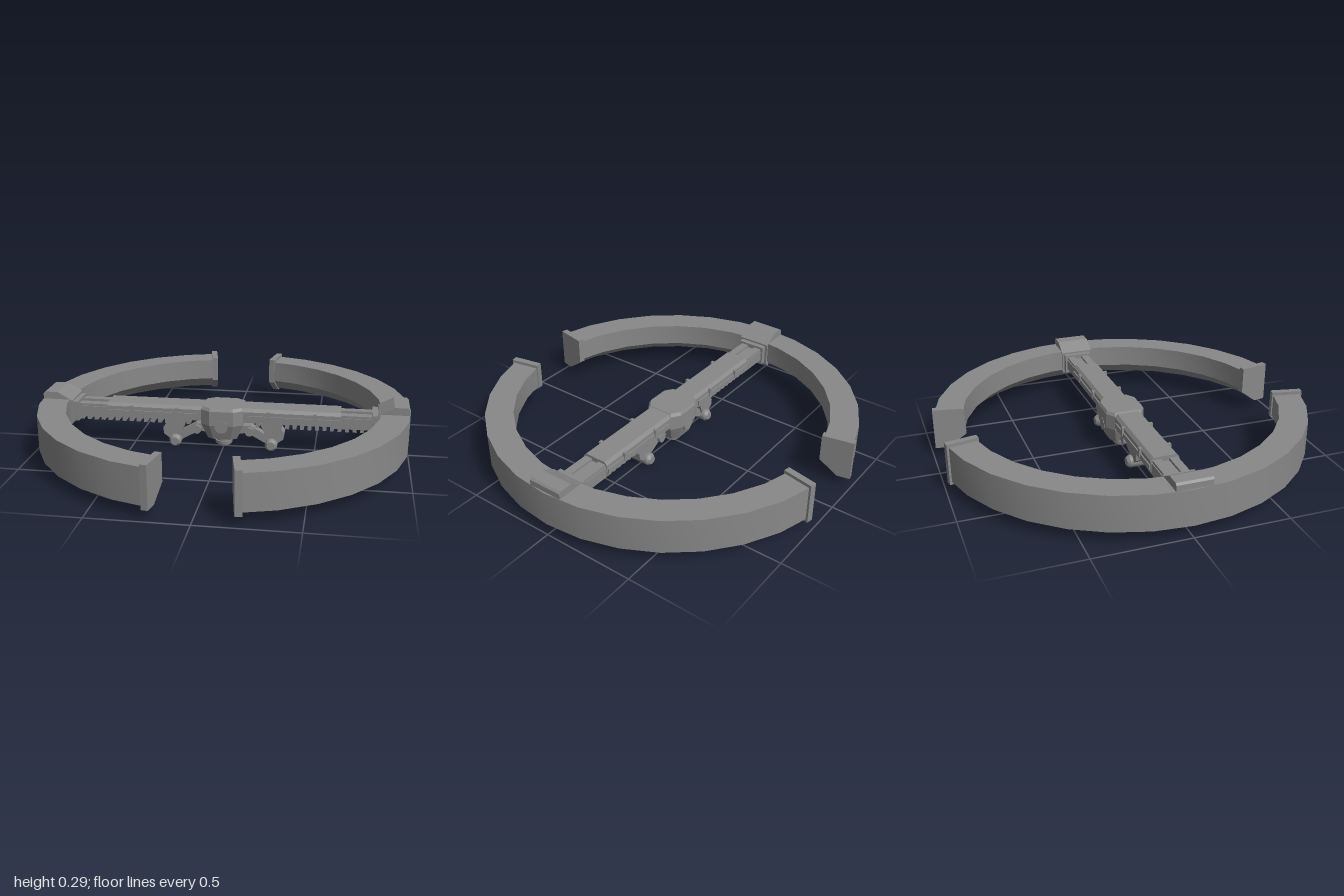
import * as THREE from 'three';
import { toCreasedNormals } from 'three/addons/utils/BufferGeometryUtils.js';
import { ConvexGeometry } from 'three/addons/geometries/ConvexGeometry.js';

const grey = new THREE.MeshStandardMaterial({ color: 0x888888 });
grey.name = 'plain grey';

function add(parent, name, geometry, x = 0, y = 0, z = 0) {
  const mesh = new THREE.Mesh(geometry, grey);
  mesh.name = name;
  mesh.position.set(x, y, z);
  parent.add(mesh);
  return mesh;
}

// Box given by its extents
function box(parent, name, x0, x1, y0, y1, z0, z1) {
  return add(parent, name, new THREE.BoxGeometry(x1 - x0, y1 - y0, z1 - z0),
    (x0 + x1) / 2, (y0 + y1) / 2, (z0 + z1) / 2);
}

// Extrude an x-y outline along z, from z0 to z1
function slab(points, z0, z1) {
  const shape = new THREE.Shape(points.map(([x, y]) => new THREE.Vector2(x, y)));
  const g = new THREE.ExtrudeGeometry(shape, { depth: z1 - z0, bevelEnabled: false });
  return g.translate(0, 0, z0);
}

function cylinder(r0, r1, h, sides = 20) {
  return toCreasedNormals(new THREE.CylinderGeometry(r0, r1, h, sides), 0.6);
}

const END = THREE.MathUtils.degToRad(78.75);

// One side of the model, on +x; the other is the same turned half round
function createHalf() {
  const half = new THREE.Group();

  // Curved guard with a cut lower inner edge
  const profile = [[0.935, 0.065], [1, 0.065], [1, 0.255], [0.85, 0.255], [0.85, 0.135], [0.935, 0.065]]
    .map(([r, y]) => new THREE.Vector2(r, y));
  add(half, 'ringGuard', toCreasedNormals(
    new THREE.LatheGeometry(profile, 14, Math.PI / 2 - END, 2 * END), 0.5));

  // Flanged plates closing the guard's ends
  const capOutline = [[0.94, 0.05], [1.008, 0.05], [1.008, 0.272], [0.84, 0.272], [0.84, 0.125]];
  for (const s of [1, -1]) {
    const cap = add(half, 'ringEndCap', slab(capOutline, s > 0 ? -0.035 : 0, s > 0 ? 0 : 0.035));
    cap.rotation.y = -s * END;
  }

  // Bracket hooking over the guard
  add(half, 'ringBracket', slab([[0.83, 0.25], [0.83, 0.12], [0.85, 0.1], [0.87, 0.13],
    [0.87, 0.255], [0.99, 0.255], [0.99, 0.285], [0.98, 0.295], [0.91, 0.295]], -0.093, 0.093));
  box(half, 'bracketFlange', 0.8, 0.84, 0.13, 0.24, -0.08, 0.08);

  // Inner telescoping section with two raised strips
  box(half, 'innerBeam', 0.6, 0.82, 0.155, 0.215, -0.07, 0.07);
  for (const s of [1, -1]) {
    box(half, 'innerBeamStrip', 0.6, 0.82, 0.21, 0.228, s * 0.043 - 0.022, s * 0.043 + 0.022);
  }

  // Main beam with side covers and clips
  const beam = add(half, 'mainBeam', slab([[-0.075, 0.165], [0.075, 0.165], [0.075, 0.225],
    [0.06, 0.242], [-0.06, 0.242], [-0.075, 0.225]], 0.08, 0.635));
  beam.rotation.y = Math.PI / 2;
  for (const s of [1, -1]) {
    const side = (name, x0, x1, y0, y1, out) =>
      box(half, name, x0, x1, y0, y1, s * (0.05 + out / 2) - out / 2, s * (0.05 + out / 2) + out / 2);
    side('sideCover', 0.14, 0.63, 0.175, 0.205, 0.032);
    for (const x of [0.25, 0.5]) side('sideClip', x - 0.01, x + 0.01, 0.185, 0.232, 0.036);
  }

  // Toothed rail under the beam
  box(half, 'railCore', 0.17, 0.81, 0.152, 0.168, -0.035, 0.035);
  for (let i = 0; i < 16; i++) {
    const x = 0.18 + i * 0.04;
    box(half, 'railTooth', x, x + 0.02, 0.132, 0.157, -0.05, 0.05);
  }

  // Hanging bracket, strut to the hub and cross roller
  add(half, 'rollerBracket', slab([[0.2, 0.15], [0.22, 0.11], [0.245, 0.04], [0.29, 0.035],
    [0.33, 0.065], [0.335, 0.1], [0.3, 0.15]], -0.035, 0.035));
  add(half, 'hubStrut', slab([[0.08, 0.13], [0.08, 0.08], [0.13, 0.09], [0.24, 0.03],
    [0.265, 0.065], [0.15, 0.13]], -0.025, 0.025));
  const pivot = add(half, 'strutPivot', cylinder(0.024, 0.024, 0.09), 0.145, 0.1, 0);
  pivot.rotation.x = Math.PI / 2;
  const roller = add(half, 'roller', cylinder(0.034, 0.034, 0.1), 0.265, 0.034, 0);
  roller.rotation.x = Math.PI / 2;
  for (const s of [1, -1]) {
    const end = add(half, 'rollerEnd', cylinder(0.022, 0.034, 0.016), 0.265, 0.034, s * 0.058);
    end.rotation.x = s * Math.PI / 2;
  }
  return half;
}

// Central block: an eight-cornered plan scaled at several heights
function createHub() {
  const hub = new THREE.Group();
  hub.name = 'centreHub';
  const points = [];
  for (const [y, sx, sz] of [[0.065, 0.7, 0.75], [0.15, 1, 1], [0.23, 1, 1], [0.246, 0.92, 0.92]]) {
    for (const [x, z] of [[0.065, 0.108], [0.115, 0.075]]) {
      for (const s of [1, -1]) for (const t of [1, -1]) points.push(new THREE.Vector3(s * x * sx, y, t * z * sz));
    }
  }
  add(hub, 'hubBlock', new ConvexGeometry(points));

  // Round boss on the front and the back
  for (const s of [1, -1]) {
    const boss = add(hub, 'hubBoss', cylinder(0.036, 0.036, 0.03), 0, 0.145, s * 0.095);
    boss.rotation.x = Math.PI / 2;
  }

  // Stepped knob underneath
  for (const [r0, r1, y0, y1] of [[0.05, 0.05, 0.05, 0.068], [0.04, 0.04, 0.04, 0.05],
    [0.048, 0.046, 0.022, 0.04], [0.04, 0.036, 0.012, 0.022]]) {
    add(hub, 'hubKnob', cylinder(r0, r1, y1 - y0), 0, (y0 + y1) / 2, 0);
  }
  return hub;
}

export function createModel() {
  const model = new THREE.Group();
  model.name = 'ringWithCrossbeam';
  for (const [name, turn] of [['leftHalf', 0], ['rightHalf', Math.PI]]) {
    const half = createHalf();
    half.name = name;
    half.rotation.y = turn;
    model.add(half);
  }
  model.add(createHub());
  return model;
}
